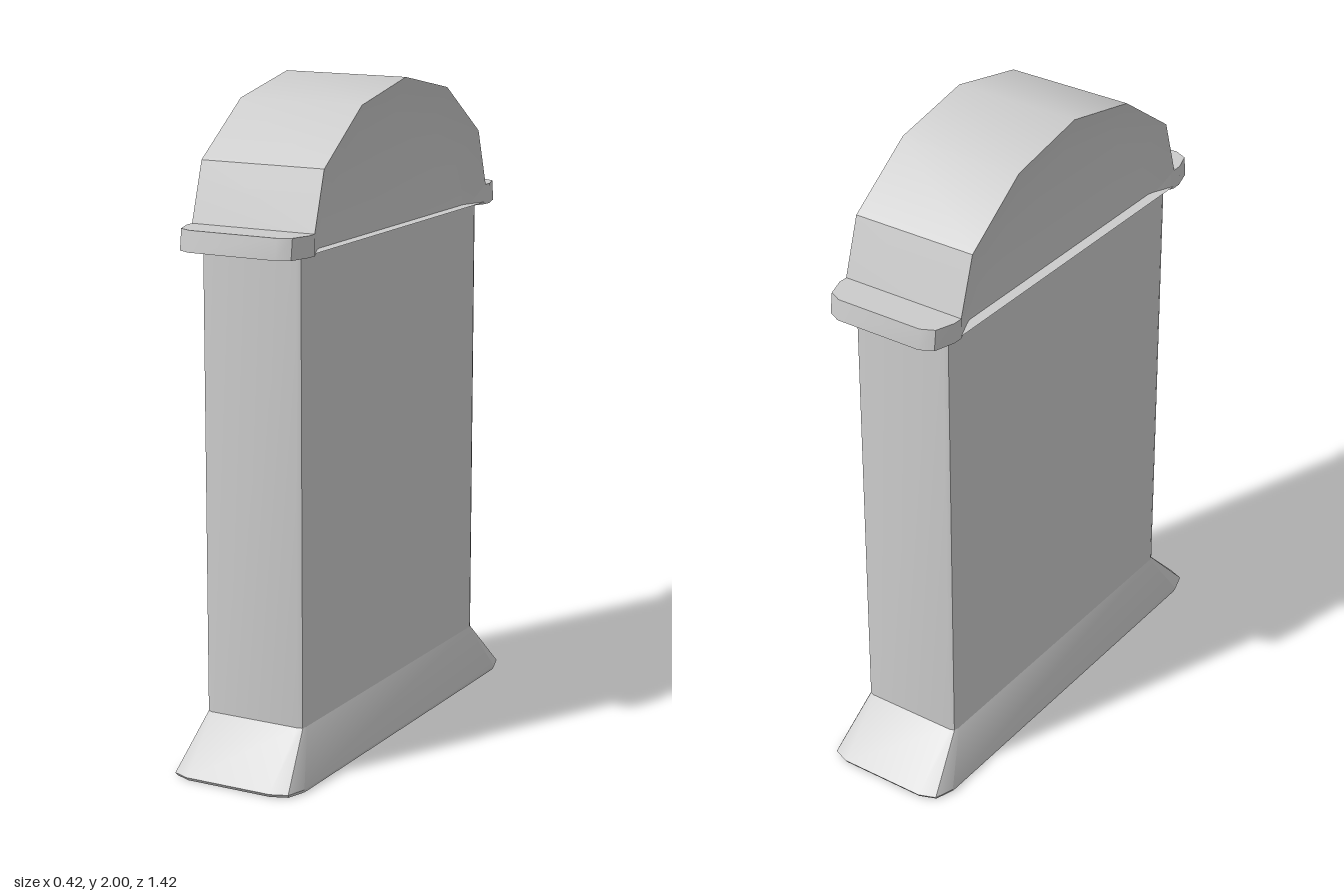
import * as THREE from 'three';
import { toCreasedNormals } from 'three/addons/utils/BufferGeometryUtils.js';

const material = new THREE.MeshStandardMaterial({ color: 0xcccccc });

// Joins equal-sized rings of [x, y, z] points and caps both ends.
// Rings run counter-clockwise seen from the last ring's end.
function loft(rings, crease) {
  const n = rings[0].length;
  const index = [];
  for (let r = 0; r < rings.length - 1; r++) {
    for (let i = 0; i < n; i++) {
      const a = r * n + i, b = r * n + (i + 1) % n;
      index.push(a, b, b + n, a, b + n, a + n);
    }
  }
  const last = (rings.length - 1) * n;
  for (let i = 1; i < n - 1; i++) {
    index.push(0, i + 1, i);
    index.push(last, last + i, last + i + 1);
  }
  const geometry = new THREE.BufferGeometry();
  geometry.setAttribute('position', new THREE.Float32BufferAttribute(rings.flat(2), 3));
  geometry.setIndex(index);
  return toCreasedNormals(geometry, crease);
}

function part(name, geometry) {
  const mesh = new THREE.Mesh(geometry, material);
  mesh.name = name;
  return mesh;
}

// Rectangle with corners rounded in two facets: cx, cz are the corner cuts.
function slabRing(y, x, z, cx, cz) {
  const quarter = [[x - cx, z], [x - cx * 0.28, z - cz * 0.25], [x, z - cz]];
  const back = quarter.map(([px, pz]) => [px, -pz]).reverse();
  const right = [...quarter, ...back];
  const left = right.map(([px, pz]) => [-px, pz]).reverse();
  return [...right, ...left].map(([px, pz]) => [px, y, pz]);
}

// Arch outline at a given x, mirrored from the +z half.
function archRing(x, half) {
  const left = half.map(([z, y]) => [x, y, -z]);
  const right = half.slice(0, -1).reverse().map(([z, y]) => [x, y, z]);
  return [...left, ...right];
}

// Shoulder ledge outline, tapering into the body at its inner end.
function ledgeRing(y, grow) {
  const right = [[0.14, 0.655 + grow], [0.18, 0.635 + grow], [0.2, 0.575], [0.2, 0.545], [0.163, 0.46]];
  const left = right.map(([x, z]) => [-x, z]).reverse();
  return [...right, ...left].map(([x, z]) => [x, y, z]);
}

export function createModel() {
  const group = new THREE.Group();
  group.name = 'headstone';

  // Flared foot with a thin lip
  group.add(part('foot', loft([
    slabRing(0, 0.207, 0.705, 0.07, 0.08),
    slabRing(0.01, 0.21, 0.712, 0.07, 0.08),
    slabRing(0.165, 0.165, 0.555, 0.02, 0.02),
  ], 0.7)));

  // Upright slab
  group.add(part('slab', loft([
    slabRing(0.16, 0.165, 0.557, 0.02, 0.02),
    slabRing(1.56, 0.165, 0.557, 0.02, 0.02),
  ], 0.7)));

  // Arched head, flaring outwards from the slab faces to its rim
  const rim = [[0.56, 1.56], [0.545, 1.615], [0.49, 1.79], [0.27, 1.945], [0, 2]];
  const face = [[0.46, 1.56], [0.445, 1.61], [0.4, 1.71], [0.23, 1.84], [0, 1.885]];
  group.add(part('archedHead', loft([
    archRing(-0.165, face),
    archRing(-0.2, rim),
    archRing(0.2, rim),
    archRing(0.165, face),
  ], 0.6)));

  // Ledges at the two shoulders
  for (const [name, turn] of [['frontLedge', 0], ['backLedge', Math.PI]]) {
    const ledge = part(name, loft([ledgeRing(1.553, 0.008), ledgeRing(1.615, 0)], 0.6));
    ledge.rotation.y = turn;
    group.add(ledge);
  }

  return group;
}
